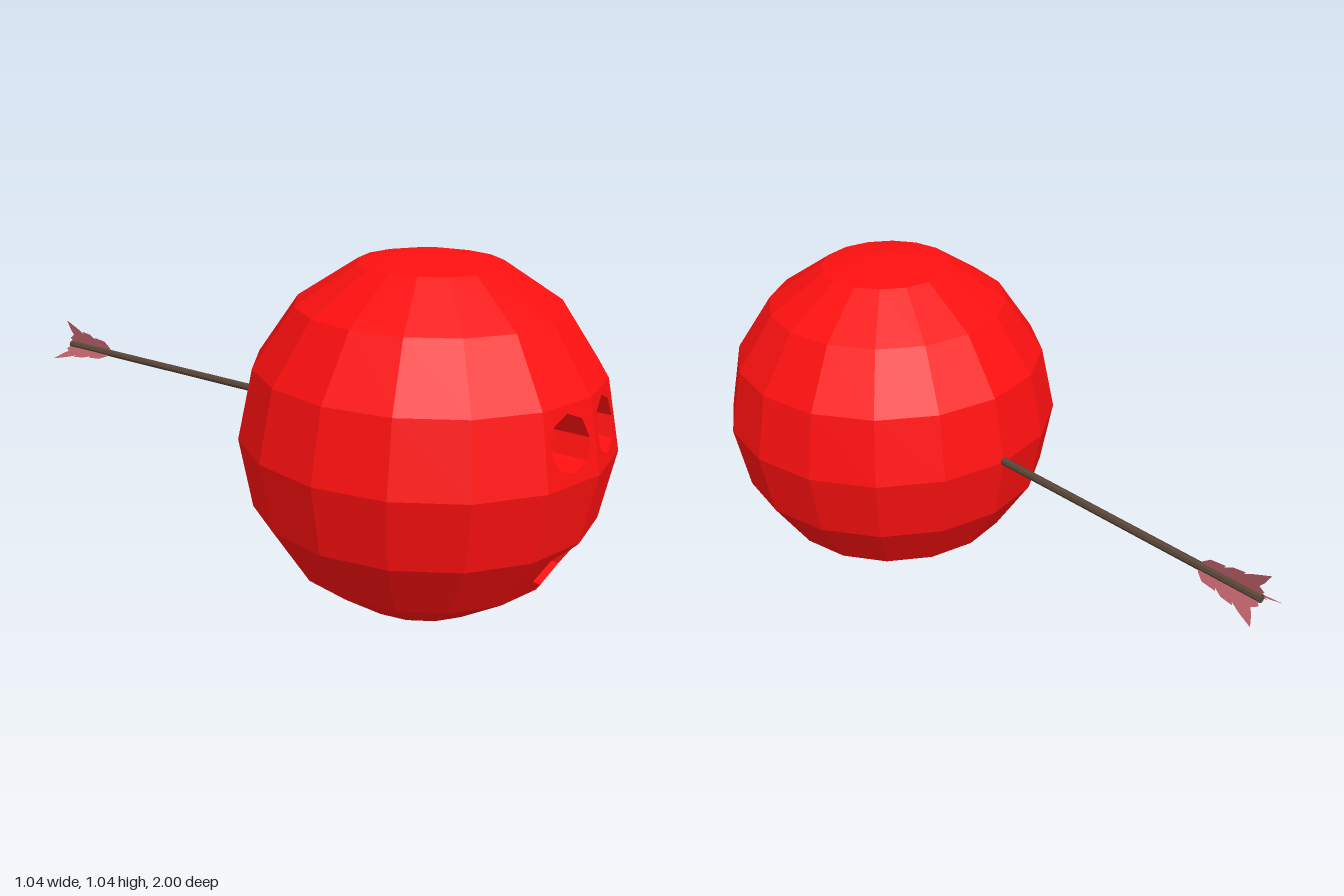
import * as THREE from 'three';

const R = 0.5225, CY = 0.5225, CZ = 0.4775, SEG = 16, ROWS = 8, SOCKET_Z = 0.7;

const material = (color, extra = {}) => new THREE.MeshStandardMaterial({ color, flatShading: true, ...extra });

function add(parent, name, geometry, mat) {
  const mesh = new THREE.Mesh(geometry, mat);
  mesh.name = name;
  parent.add(mesh);
  return mesh;
}

// Point on the ball: row counts down from the top, column turns from +z towards +x
function ballPoint(row, col) {
  const p = (row / ROWS) * Math.PI, a = (col / SEG) * Math.PI * 2;
  return new THREE.Vector3(R * Math.sin(p) * Math.sin(a), CY + R * Math.cos(p), CZ + R * Math.sin(p) * Math.cos(a));
}

const corners = (row, col) => [ballPoint(row, col), ballPoint(row + 1, col), ballPoint(row + 1, col + 1), ballPoint(row, col + 1)];

// Returns z on the plane of a ball facet for a given x, y
function facetDepth(row, col) {
  const [a, b, c] = corners(row, col);
  const plane = new THREE.Plane().setFromCoplanarPoints(a, b, c);
  const n = plane.normal;
  return (x, y) => -(plane.constant + n.x * x + n.y * y) / n.z;
}

const flat = (v) => new THREE.Vector2(v.x, v.y);

function positionsToGeometry(positions) {
  const g = new THREE.BufferGeometry();
  g.setAttribute('position', new THREE.Float32BufferAttribute(positions, 3));
  g.computeVertexNormals();
  return g;
}

export function createModel() {
  const model = new THREE.Group();
  model.name = 'ballWithArrow';
  const red = material(0xff1010);
  const redInside = material(0xff1010, { side: THREE.DoubleSide });
  const black = material(0x0c0c0c);
  const wood = material(0x5a4638);
  const feather = material(0xb45c64, { side: THREE.DoubleSide });

  // Opening outlines, counter-clockwise from the top
  const eyeOutline = (cx) => Array.from({ length: 8 }, (_, i) => {
    const a = Math.PI / 2 + (i * Math.PI) / 4;
    return new THREE.Vector2(cx + 0.076 * Math.cos(a), 0.625 + 0.076 * Math.sin(a));
  });
  const leftEye = eyeOutline(0.097), rightEye = eyeOutline(-0.097);
  const mouth = [[0, 0.317], [-0.08, 0.288], [-0.073, 0.212], [0, 0.17], [0.073, 0.212], [0.08, 0.288]]
    .map(([x, y]) => new THREE.Vector2(x, y));

  // Facets that carry an opening
  const cutFacets = new Map();
  for (const [col, eye] of [[0, leftEye], [SEG - 1, rightEye]]) {
    const shape = new THREE.Shape(corners(3, col).map(flat));
    shape.holes.push(new THREE.Path(eye));
    cutFacets.set(`3,${col}`, shape);
  }
  const [la, lb, lc, ld] = corners(5, 0).map(flat);
  const [ra, rb, rc, rd] = corners(5, SEG - 1).map(flat);
  cutFacets.set('5,0', new THREE.Shape([lb, lc, ld, la, mouth[0], mouth[5], mouth[4], mouth[3]]));
  cutFacets.set(`5,${SEG - 1}`, new THREE.Shape([ra, rb, rc, mouth[3], mouth[2], mouth[1], mouth[0], rd]));

  // Faceted ball
  const skin = [];
  for (let row = 0; row < ROWS; row++) {
    for (let col = 0; col < SEG; col++) {
      const shape = cutFacets.get(`${row},${col}`);
      if (shape) {
        const depth = facetDepth(row, col);
        const p = new THREE.ShapeGeometry(shape).toNonIndexed().attributes.position;
        for (let i = 0; i < p.count; i++) skin.push(p.getX(i), p.getY(i), depth(p.getX(i), p.getY(i)));
        continue;
      }
      const [a, b, c, d] = corners(row, col);
      const tris = [];
      if (row < ROWS - 1) tris.push(a, b, c);
      if (row > 0) tris.push(a, c, d);
      tris.forEach((v) => skin.push(v.x, v.y, v.z));
    }
  }
  add(model, 'ball', positionsToGeometry(skin), red);

  // Sockets: red walls running straight back to a black floor
  function socket(name, outline, row) {
    const group = new THREE.Group();
    group.name = name;
    const left = facetDepth(row, 0), right = facetDepth(row, SEG - 1);
    const rim = (v) => (v.x >= 0 ? left : right)(v.x, v.y);
    const walls = [];
    outline.forEach((a, i) => {
      const b = outline[(i + 1) % outline.length];
      const za = rim(a), zb = rim(b);
      walls.push(a.x, a.y, za, a.x, a.y, SOCKET_Z, b.x, b.y, SOCKET_Z);
      walls.push(a.x, a.y, za, b.x, b.y, SOCKET_Z, b.x, b.y, zb);
    });
    add(group, name + 'Walls', positionsToGeometry(walls), redInside);
    add(group, name + 'Floor', new THREE.ShapeGeometry(new THREE.Shape(outline)), black).position.z = SOCKET_Z;
    model.add(group);
  }
  socket('leftEye', leftEye, 3);
  socket('rightEye', rightEye, 3);
  socket('mouth', mouth, 5);

  // Arrow stuck in the back, local y running along the shaft towards the tail
  const arrow = new THREE.Group();
  arrow.name = 'arrow';
  arrow.position.y = 0.527;
  arrow.rotation.x = -Math.PI / 2;
  const shaft = add(arrow, 'arrowShaft', new THREE.CylinderGeometry(0.012, 0.012, 1.13, 8), wood);
  shaft.position.y = 0.415;

  // Three ragged vanes: distance from the shaft, distance along it
  const vaneShape = new THREE.Shape([
    [0, 0.78], [0.018, 0.79], [0.036, 0.815], [0.041, 0.862], [0.034, 0.858], [0.048, 0.885],
    [0.053, 0.925], [0.045, 0.918], [0.061, 0.95], [0.081, 1], [0.05, 0.982], [0.034, 0.968],
    [0.022, 0.985], [0, 0.965],
  ].map(([x, y]) => new THREE.Vector2(x, y)));
  const vaneGeometry = new THREE.ShapeGeometry(vaneShape);
  for (let i = 0; i < 3; i++) {
    const vane = add(arrow, 'featherVane', vaneGeometry, feather);
    vane.rotation.y = -Math.PI / 2 + (i * Math.PI * 2) / 3;
  }
  model.add(arrow);
  return model;
}
